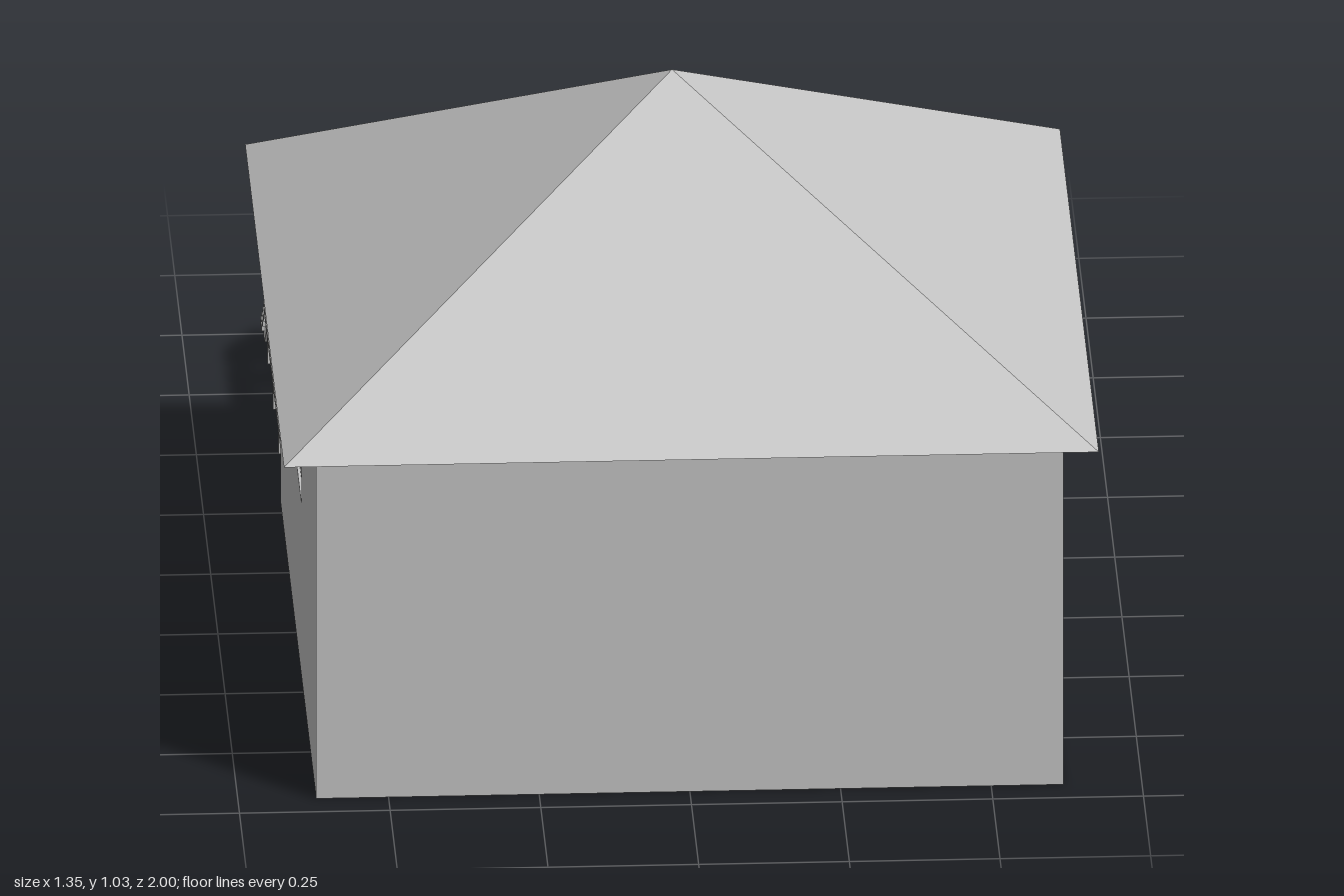
import * as THREE from 'three';
import { toCreasedNormals } from 'three/addons/utils/BufferGeometryUtils.js';

export function createModel() {
  const model = new THREE.Group();
  model.name = 'houseWithDeck';
  const grey = new THREE.MeshStandardMaterial({ color: 0xc4c4c4 });
  grey.name = 'lightGrey';

  const add = (name, geometry, x = 0, y = 0, z = 0, parent = model) => {
    const mesh = new THREE.Mesh(geometry, grey);
    mesh.name = name;
    mesh.position.set(x, y, z);
    parent.add(mesh);
    return mesh;
  };
  // Box given by its limits on each axis
  const box = (name, x0, x1, y0, y1, z0, z1, parent = model) =>
    add(name, new THREE.BoxGeometry(x1 - x0, y1 - y0, z1 - z0),
      (x0 + x1) / 2, (y0 + y1) / 2, (z0 + z1) / 2, parent);
  const group = (name, x, y, z, turn = 0) => {
    const g = new THREE.Group();
    g.name = name;
    g.position.set(x, y, z);
    g.rotation.y = turn;
    model.add(g);
    return g;
  };

  const T = 0.03, TOP = 0.622, W = 0.62, BACK = -0.295, FRONT = 0.945, MID = 0.325;

  // Wall panel with rectangular openings [x0, x1, y0, y1]
  const wallGeometry = (half, openings) => {
    const shape = new THREE.Shape([[-half, 0], [half, 0], [half, TOP], [-half, TOP]]
      .map(p => new THREE.Vector2(...p)));
    for (const [x0, x1, y0, y1] of openings) {
      shape.holes.push(new THREE.Path([[x0, y0], [x0, y1], [x1, y1], [x1, y0]]
        .map(p => new THREE.Vector2(...p))));
    }
    return new THREE.ExtrudeGeometry(shape, { depth: T, bevelEnabled: false });
  };

  // House shell
  const backWindow = [0.1, 0.31, 0.31, 0.52];
  const door = [-0.29, -0.1, 0.11, 0.51];
  add('backWall', wallGeometry(W, [backWindow, door]), 0, 0, BACK);
  box('frontWall', -W, W, 0, TOP, FRONT - T, FRONT);
  for (const x of [-W, W - T]) {
    const wall = add('sideWall', wallGeometry((FRONT - BACK) / 2 - T, [[-0.1, 0.11, 0.31, 0.52]]), x, 0, MID);
    wall.rotation.y = Math.PI / 2;
  }
  box('floor', -W + T, W - T, 0, 0.1, BACK + T, FRONT - T);

  // Pyramid roof with overhanging eaves
  const cone = new THREE.ConeGeometry(0.676 * Math.SQRT2, 0.413, 4, 1);
  cone.rotateY(Math.PI / 4);
  add('roof', toCreasedNormals(cone, 0.1), 0, TOP + 0.2065, 0.3225);

  // Window frames, each with a centre post
  const windowFrame = (x, y, z, turn) => {
    const g = group('windowFrame', x, y, z, turn);
    const h = 0.105, f = 0.01, d = 0.014;
    for (const s of [-1, 1]) {
      add('frameSide', new THREE.BoxGeometry(f, 2 * h, d), s * (h - f / 2), 0, 0, g);
      add('frameRail', new THREE.BoxGeometry(2 * h, f, d), 0, s * (h - f / 2), 0, g);
    }
    add('centrePost', new THREE.BoxGeometry(0.012, 2 * h, d), 0, 0, 0, g);
  };
  windowFrame(0.205, 0.415, BACK + 0.012, 0);
  for (const s of [-1, 1]) windowFrame(s * (W - 0.012), 0.415, 0.32, Math.PI / 2);

  // Door frame with handle
  const [dx0, dx1, dy0, dy1] = door;
  const dz0 = BACK + 0.004, dz1 = BACK + 0.022;
  box('doorStile', dx0, dx0 + 0.012, dy0, dy1, dz0, dz1);
  box('doorStile', dx1 - 0.024, dx1, dy0, dy1, dz0, dz1);
  box('doorRail', dx0, dx1, dy1 - 0.012, dy1, dz0, dz1);
  box('doorRail', dx0, dx1, dy0, dy0 + 0.01, dz0, dz1);
  box('doorHandle', dx1 - 0.016, dx1 - 0.009, 0.295, 0.325, BACK - 0.006, dz0);

  // Deck boards
  for (let i = 0; i < 13; i++) {
    const z = -0.3 - i * 0.0464;
    box('deckBoard', -W, W, 0.093, 0.105, z - 0.036, z);
  }
  // Stair treads
  [0.08, 0.055, 0.032].forEach((y, i) => {
    const z = -0.892 - i * 0.036;
    box('stairTread', -W, W, y - 0.012, y, z - 0.036, z);
  });

  // Joists, posts and stair stringers
  const stringer = new THREE.ExtrudeGeometry(new THREE.Shape([
    [0.885, 0.058], [0.965, 0], [1, 0], [1, 0.02], [0.964, 0.02], [0.964, 0.043],
    [0.928, 0.043], [0.928, 0.068], [0.892, 0.068], [0.885, 0.09],
  ].map(p => new THREE.Vector2(...p))), { depth: 0.018, bevelEnabled: false });
  stringer.rotateY(Math.PI / 2);
  for (let i = -3; i <= 3; i++) {
    const x = i * 0.202;
    box('joist', x - 0.009, x + 0.009, 0.073, 0.093, -0.89, -0.3);
    for (const z of [-0.31, -0.505, -0.69, -0.88]) {
      box('deckPost', x - 0.008, x + 0.008, 0, 0.073, z - 0.008, z + 0.008);
    }
    add('stairStringer', stringer, x - 0.009, 0, 0);
  }

  // Tub armchair: a lathed bowl whose rim drops toward its open side (-z)
  const tubProfile = new THREE.SplineCurve([
    [0.077, 0.002], [0.086, 0.04], [0.094, 0.08], [0.099, 0.12], [0.097, 0.143], [0.091, 0.15],
    [0.084, 0.145], [0.078, 0.12], [0.07, 0.093], [0.05, 0.082], [0.025, 0.079], [0, 0.078],
  ].map(p => new THREE.Vector2(...p))).getPoints(33);
  tubProfile[tubProfile.length - 1].x = 0;
  const tub = new THREE.LatheGeometry([new THREE.Vector2(0, 0), new THREE.Vector2(0.07, 0), ...tubProfile], 48);
  const pos = tub.attributes.position;
  for (let i = 0; i < pos.count; i++) {
    const t = THREE.MathUtils.clamp((1 - pos.getZ(i) / 0.1) / 2, 0, 1);
    pos.setY(i, pos.getY(i) * (1 - 0.43 * Math.pow(t, 1.5)));
  }
  const tubGeometry = toCreasedNormals(tub, 0.8);
  add('tubArmchair', tubGeometry, 0.206, 0.105, -0.41);
  add('tubArmchair', tubGeometry, 0.45, 0.105, -0.46).rotation.y = 0.35;

  // Swivel chair inside
  const chair = group('swivelChair', 0.06, 0.1, 0.14, 0.6);
  add('chairColumn', new THREE.CylinderGeometry(0.006, 0.006, 0.075, 12), 0, 0.05, 0, chair);
  add('chairSeat', new THREE.CylinderGeometry(0.04, 0.036, 0.012, 24), 0, 0.09, 0, chair);
  add('chairBack', new THREE.BoxGeometry(0.06, 0.055, 0.008), 0, 0.135, 0.036, chair);
  add('backSupport', new THREE.BoxGeometry(0.01, 0.04, 0.006), 0, 0.1, 0.037, chair);
  for (let i = 0; i < 5; i++) {
    const arm = new THREE.BoxGeometry(0.045, 0.006, 0.008);
    arm.translate(0.0225, 0, 0);
    add('chairLeg', arm, 0, 0.014, 0, chair).rotation.y = i * Math.PI * 0.4;
    const a = i * Math.PI * 0.4;
    add('caster', new THREE.SphereGeometry(0.007, 10, 8), Math.cos(a) * 0.043, 0.007, -Math.sin(a) * 0.043, chair);
  }

  return model;
}
